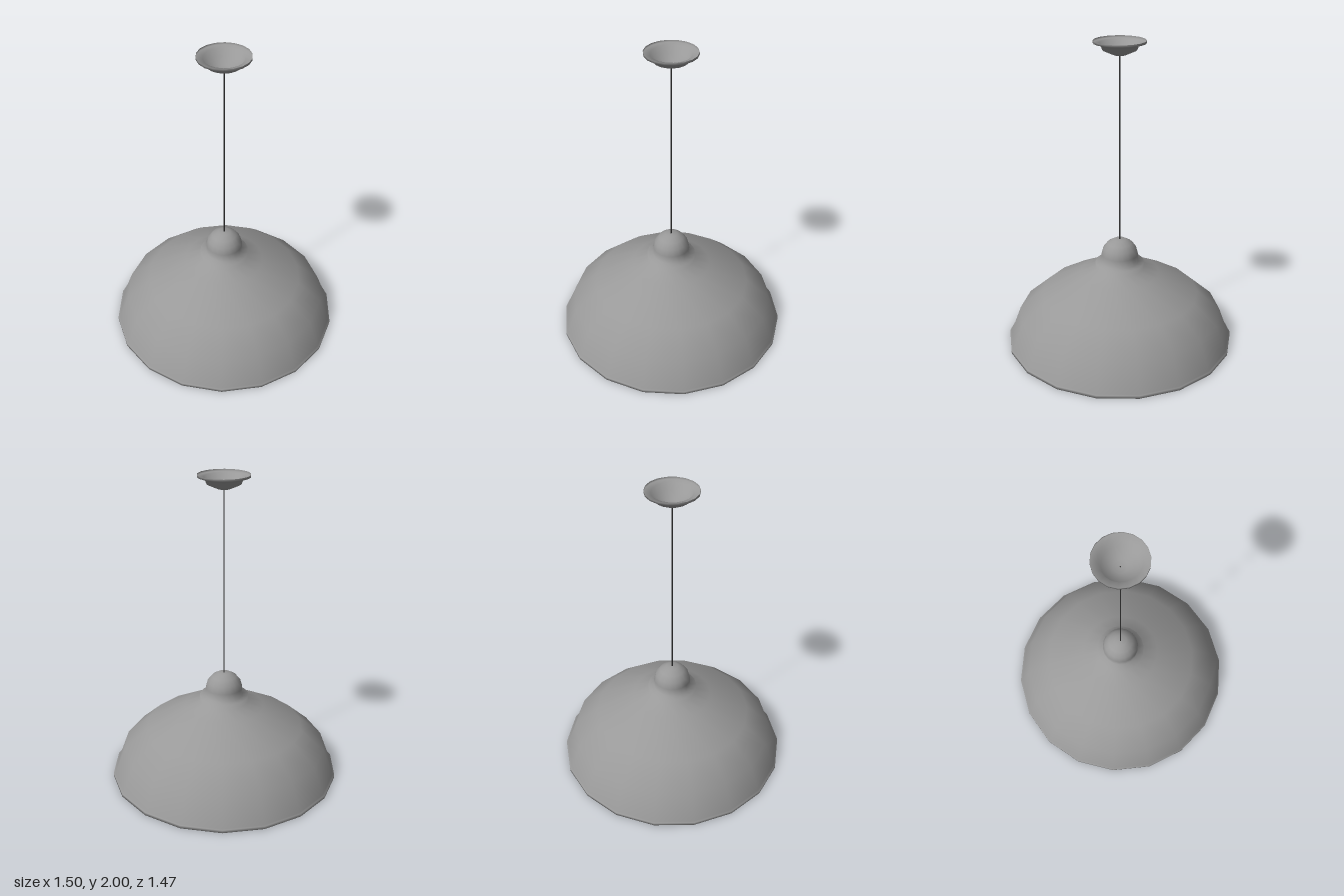
import * as THREE from 'three';

const SIDES = 18;
const enamel = new THREE.MeshStandardMaterial({ color: 0x999999, side: THREE.DoubleSide });
const cordMaterial = new THREE.MeshStandardMaterial({ color: 0x333333 });

// Smooth turned part from a [radius, height] profile listed bottom to top
function turned(name, profile) {
  const points = profile.map(([r, y]) => new THREE.Vector2(r, y));
  const mesh = new THREE.Mesh(new THREE.LatheGeometry(points, SIDES, Math.PI / 2), enamel);
  mesh.name = name;
  return mesh;
}

export function createModel() {
  const lamp = new THREE.Group();
  lamp.name = 'pendantLamp';

  // One continuous spinning: lip, wide open shade, collar and domed cap
  lamp.add(turned('shadeWithCap', [
    [0.728, 0], [0.748, 0], [0.748, 0.02], [0.735, 0.02],
    [0.668, 0.2], [0.515, 0.335], [0.26, 0.475], [0.16, 0.515],
    [0.16, 0.55], [0.12, 0.55],
    [0.12, 0.605], [0.108, 0.65], [0.08, 0.685], [0.04, 0.709], [0, 0.711],
  ]));

  // Tapered bulb hanging inside the shade
  lamp.add(turned('bulb', [
    [0, 0.195], [0.03, 0.203], [0.055, 0.24], [0.082, 0.31], [0.105, 0.4], [0.118, 0.55],
  ]));

  // Suspension cord
  const cord = new THREE.Mesh(new THREE.CylinderGeometry(0.004, 0.004, 1.21, 8), cordMaterial);
  cord.name = 'cord';
  cord.position.y = 1.31;
  lamp.add(cord);

  // Open dished ceiling canopy with a thin flange
  lamp.add(turned('ceilingCanopy', [
    [0, 1.914], [0.04, 1.914], [0.105, 1.943], [0.122, 1.986], [0.162, 1.986], [0.162, 2],
  ]));

  return lamp;
}
